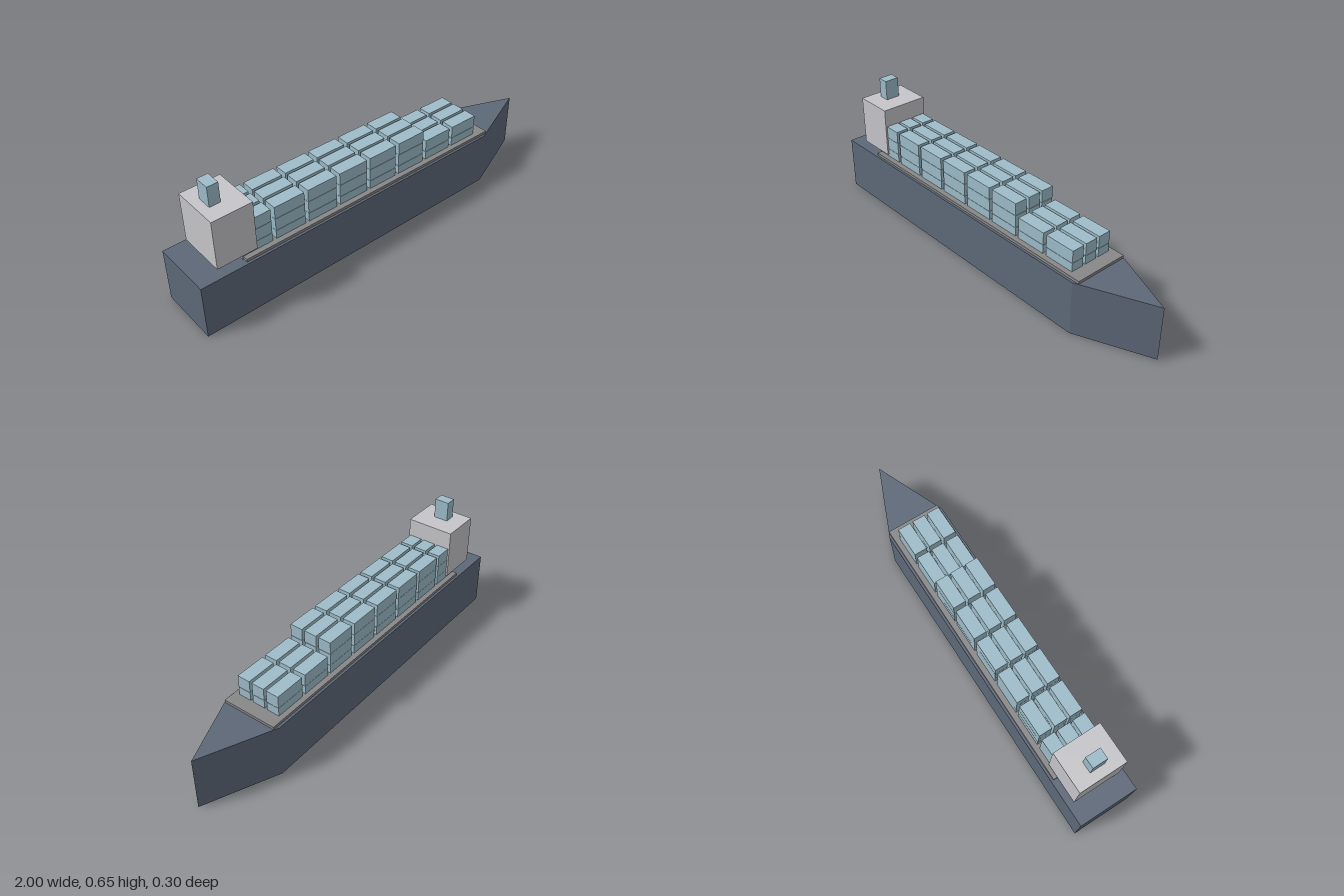
import * as THREE from 'three';

const mat = (name, color) => {
  const m = new THREE.MeshStandardMaterial({ color });
  m.name = name;
  return m;
};

export function createModel() {
  const ship = new THREE.Group();
  ship.name = 'containerShip';
  const hullBlue = mat('slateHull', 0x5d6878);
  const deckGrey = mat('deckGrey', 0x888888);
  const houseGrey = mat('paleGrey', 0xc6c6ca);
  const cargoBlue = mat('lightBlue', 0x9dbcc9);

  // Box given by its min and max extents
  const box = (name, material, [x0, x1], [y0, y1], [z0, z1], parent = ship) => {
    const mesh = new THREE.Mesh(new THREE.BoxGeometry(x1 - x0, y1 - y0, z1 - z0), material);
    mesh.position.set((x0 + x1) / 2, (y0 + y1) / 2, (z0 + z1) / 2);
    mesh.name = name;
    parent.add(mesh);
  };

  // Hull: straight body and a wedge bow whose tip rises slightly
  box('hull', hullBlue, [-1, 0.64], [0, 0.272], [-0.15, 0.15]);
  const plan = new THREE.Shape([
    new THREE.Vector2(0.64, -0.15),
    new THREE.Vector2(1, 0),
    new THREE.Vector2(0.64, 0.15),
  ]);
  const bowGeo = new THREE.ExtrudeGeometry(plan, { depth: 0.272, bevelEnabled: false });
  bowGeo.rotateX(-Math.PI / 2);
  const p = bowGeo.attributes.position;
  for (let i = 0; i < p.count; i++) {
    if (p.getX(i) > 0.9) p.setY(i, p.getY(i) + 0.006);
  }
  bowGeo.computeVertexNormals();
  const bow = new THREE.Mesh(bowGeo, hullBlue);
  bow.name = 'bow';
  ship.add(bow);

  // Cargo deck, deckhouse and funnel
  box('cargoDeck', deckGrey, [-0.77, 0.665], [0.268, 0.286], [-0.138, 0.138]);
  box('deckhouse', houseGrey, [-0.9, -0.703], [0.297, 0.545], [-0.12, 0.12]);
  box('funnel', cargoBlue, [-0.854, -0.8], [0.545, 0.646], [-0.037, 0.037]);

  // Containers: eight bays, three rows, the two forward bays one tier lower
  const cargo = new THREE.Group();
  cargo.name = 'containers';
  ship.add(cargo);
  for (let bay = 0; bay < 8; bay++) {
    const x = -0.697 + bay * 0.1742;
    const tiers = bay < 6 ? 3 : 2;
    for (let row = -1; row <= 1; row++) {
      for (let tier = 0; tier < tiers; tier++) {
        const y = 0.267 + tier * 0.063;
        const z = row * 0.0795;
        box('container', cargoBlue, [x - 0.0775, x + 0.0775], [y, y + 0.0615],
          [z - 0.0325, z + 0.0325], cargo);
      }
    }
  }
  return ship;
}
